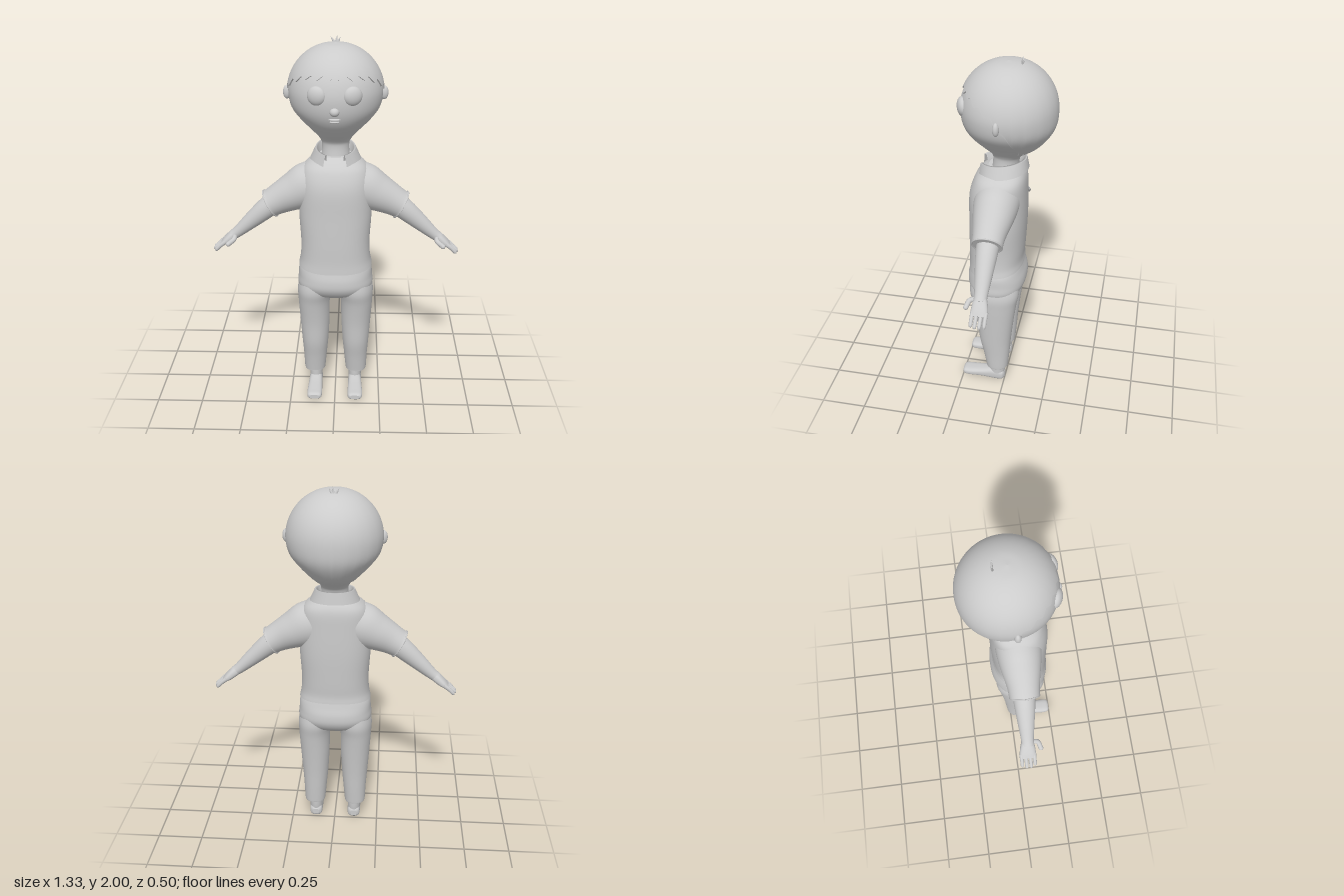
import * as THREE from 'three';

const mat = new THREE.MeshStandardMaterial({ color: 0xcccccc, side: THREE.DoubleSide });
const V = (x, y, z) => new THREE.Vector3(x, y, z);
const X = V(1, 0, 0), Y = V(0, 1, 0), Z = V(0, 0, 1);

function add(parent, geometry, name) {
  const mesh = new THREE.Mesh(geometry, mat);
  mesh.name = name;
  parent.add(mesh);
  return mesh;
}

// Skin a list of rings (equal point counts); closed = rings wrap round
function skin(rings, closed = true) {
  const n = rings[0].length, index = [];
  for (let i = 0; i < rings.length - 1; i++) {
    for (let j = 0; j < (closed ? n : n - 1); j++) {
      const k = (j + 1) % n, a = i * n, b = a + n;
      index.push(a + j, a + k, b + j, a + k, b + k, b + j);
    }
  }
  const g = new THREE.BufferGeometry();
  g.setAttribute('position', new THREE.Float32BufferAttribute(rings.flat().flatMap(p => p.toArray()), 3));
  g.setIndex(index);
  g.computeVertexNormals();
  return g;
}

// Smooth section sampler over keys [x, y, z, radiusU, radiusV]
function sampler(keys, u, v, e = 2) {
  const centre = new THREE.CatmullRomCurve3(keys.map(k => V(k[0], k[1], k[2])), false, 'catmullrom');
  const radius = new THREE.CatmullRomCurve3(keys.map(k => V(k[3], k[4], 0)), false, 'catmullrom');
  const pow = c => Math.sign(c) * Math.abs(c) ** (2 / e);
  return (t, angle, grow = 0) => {
    const r = radius.getPoint(t);
    return centre.getPoint(t)
      .addScaledVector(u, pow(Math.cos(angle)) * (r.x + grow))
      .addScaledVector(v, pow(Math.sin(angle)) * (r.y + grow));
  };
}

// Capped loft; u x v must point along the path
function loft(keys, u, v, { e = 2, n = 40, steps = 6 } = {}) {
  const at = sampler(keys, u, v, e), m = (keys.length - 1) * steps, rings = [];
  for (let i = 0; i <= m; i++) {
    rings.push(Array.from({ length: n }, (_, j) => at(i / m, (j / n) * Math.PI * 2)));
  }
  const cap = k => Array.from({ length: n }, () => V(k[0], k[1], k[2]));
  return skin([cap(keys[0]), rings[0], ...rings, rings[m], cap(keys[keys.length - 1])]);
}

function ball(parent, name, pos, scale, rotY = 0) {
  const m = add(parent, new THREE.SphereGeometry(1, 32, 20), name);
  m.position.set(...pos);
  m.scale.set(...scale);
  m.rotation.y = rotY;
  return m;
}

function buildHead(root) {
  const head = new THREE.Group();
  head.name = 'headGroup';
  root.add(head);
  // Round skull, then jaw and neck
  const keys = [];
  for (let d = 0; d <= 90; d += 15) {
    const a = d * Math.PI / 180;
    keys.push([0, 1.73 + 0.24 * Math.cos(a), -0.004, 0.24 * Math.sin(a), 0.24 * Math.sin(a)]);
  }
  keys.push([0, 1.66, -0.006, 0.226, 0.232], [0, 1.6, -0.006, 0.183, 0.203],
    [0, 1.54, -0.008, 0.126, 0.15], [0, 1.49, 0, 0.082, 0.088],
    [0, 1.45, 0.008, 0.07, 0.068], [0, 1.36, 0.015, 0.078, 0.072]);
  add(head, loft(keys, X, Z, { n: 64 }), 'headAndNeck');

  // Hair shell with a jagged hairline that drops behind the ears
  const at = sampler(keys, X, Z);
  const line = [[0, 1.838], [0.7, 1.835], [1.1, 1.805], [1.4, 1.765], [1.57, 1.71], [1.8, 1.62], [2.05, 1.53], [3.15, 1.5]];
  const hairY = a => {
    const i = Math.max(1, line.findIndex(p => p[0] >= a)), [a0, y0] = line[i - 1], [a1, y1] = line[i];
    const tooth = Math.abs(((a * 3.6) % 1) - 0.5) - 0.25;
    return y0 + (y1 - y0) * (a - a0) / (a1 - a0) + tooth * 0.05;
  };
  const endT = y => {
    let lo = 0, hi = 1;
    for (let i = 0; i < 24; i++) {
      const mid = (lo + hi) / 2;
      if (at(mid, 0).y > y) lo = mid; else hi = mid;
    }
    return lo;
  };
  const n = 160, m = 32, rings = Array.from({ length: m + 3 }, () => []);
  for (let j = 0; j < n; j++) {
    const th = (j / n) * Math.PI * 2;
    const fromFront = Math.abs(Math.atan2(Math.cos(th), Math.sin(th)));
    const end = endT(hairY(fromFront));
    for (let i = 0; i <= m; i++) {
      const t = end * i / m, p = at(t, th, 0.007 * Math.min(1, i / 4));
      p.y += 0.006 * (1 - t);
      rings[i].push(p);
    }
    rings[m + 1].push(rings[m][j].clone());
    rings[m + 2].push(at(end, th, -0.01));
  }
  add(head, skin(rings), 'hair');

  // Tuft on the crown
  for (const [x, tilt, h] of [[-0.014, 0.6, 0.05], [0.012, -0.5, 0.045], [0.002, -0.12, 0.056]]) {
    const leaf = add(head, new THREE.ConeGeometry(0.013, h, 16, 4), 'hairTuft');
    leaf.position.set(x, 1.972, -0.07);
    leaf.rotation.z = tilt;
    leaf.scale.z = 0.7;
  }

  // Face
  for (const s of [-1, 1]) {
    ball(head, 'eye', [s * 0.088, 1.76, 0.208], [0.048, 0.048, 0.028], s * 0.36);
    ball(head, 'ear', [s * 0.246, 1.73, 0.012], [0.02, 0.035, 0.017]);
  }
  ball(head, 'nose', [0, 1.685, 0.228], [0.024, 0.022, 0.024]);
  ball(head, 'upperLip', [0, 1.645, 0.22], [0.03, 0.007, 0.011]);
  ball(head, 'lowerLip', [0, 1.632, 0.216], [0.024, 0.007, 0.011]);
}

function buildShirt(root) {
  const torso = loft([
    [0, 1.41, 0.02, 0.08, 0.08], [0, 1.385, 0.026, 0.13, 0.11], [0, 1.34, 0.036, 0.172, 0.135],
    [0, 1.25, 0.048, 0.188, 0.15], [0, 1.1, 0.05, 0.192, 0.152], [0, 0.95, 0.055, 0.184, 0.15],
    [0, 0.85, 0.058, 0.187, 0.147], [0, 0.79, 0.058, 0.197, 0.15],
  ], X, Z, { e: 2.4, n: 56 });
  // Lift the hem toward the back
  const p = torso.attributes.position;
  for (let i = 0; i < p.count; i++) {
    const low = Math.max(0, 0.9 - p.getY(i)) / 0.11;
    p.setY(i, p.getY(i) + (0.2 - p.getZ(i)) * 0.1 * low);
  }
  torso.computeVertexNormals();
  add(root, torso, 'shirt');

  // Collar: stand folded over into a flared leaf, open at the front
  const n = 56, rows = [[], [], [], []];
  for (let j = 0; j <= n; j++) {
    const a = 0.5 + (j / n) * (Math.PI * 2 - 1), f = Math.cos(a);
    const tip = Math.max(0, f - 0.6) * 0.05;
    const at = (rx, rz, y) => V(Math.sin(a) * rx, y, 0.025 + f * rz);
    rows[0].push(at(0.085, 0.095, 1.37));
    rows[1].push(at(0.093, 0.112, 1.447 - 0.017 * f));
    rows[2].push(at(0.104, 0.124, 1.447 - 0.017 * f));
    rows[3].push(at(0.132, 0.134, 1.385 - 0.017 * f - tip));
  }
  add(root, skin([rows[0], rows[1], rows[2], rows[2], rows[3]], false), 'collar');
}

function buildArm() {
  const arm = new THREE.Group();
  arm.name = 'arm';
  const u = V(0.49, 0.87, 0);
  add(arm, loft([
    [0.08, 1.26, 0.036, 0.125, 0.12], [0.15, 1.232, 0.037, 0.124, 0.115], [0.22, 1.2, 0.038, 0.103, 0.102],
    [0.29, 1.165, 0.04, 0.085, 0.086], [0.335, 1.14, 0.04, 0.076, 0.08], [0.349, 1.132, 0.04, 0.077, 0.081],
  ], u, Z), 'sleeve');
  const cuff = add(arm, new THREE.TorusGeometry(0.077, 0.004, 8, 40), 'sleeveCuff');
  cuff.position.set(0.347, 1.133, 0.04);
  cuff.quaternion.setFromUnitVectors(Z, V(0.87, -0.49, 0).normalize());
  add(arm, loft([
    [0.31, 1.15, 0.037, 0.06, 0.06], [0.38, 1.095, 0.037, 0.056, 0.055], [0.46, 1.025, 0.035, 0.044, 0.044],
    [0.53, 0.962, 0.033, 0.031, 0.034], [0.56, 0.94, 0.032, 0.027, 0.034],
  ], u, Z), 'forearm');
  const h = V(0.6, 0.8, 0);
  add(arm, loft([
    [0.535, 0.957, 0.032, 0.024, 0.03], [0.56, 0.938, 0.03, 0.025, 0.038],
    [0.59, 0.914, 0.028, 0.021, 0.043], [0.615, 0.896, 0.028, 0.012, 0.041],
  ], h, Z, { e: 2.4 }), 'palm');
  [-0.007, 0.016, 0.039, 0.061].forEach((z, i) => {
    const reach = [0.655, 0.664, 0.664, 0.655][i];
    add(arm, loft([
      [0.595, 0.911, z, 0.012, 0.011], [0.625, 0.888, z, 0.011, 0.01],
      [reach - 0.008, 0.866, z, 0.01, 0.009], [reach, 0.858, z, 0.002, 0.002],
    ], h, Z, { n: 16 }), 'finger');
  });
  const thumb = new THREE.CatmullRomCurve3([V(0.545, 0.948, 0.045), V(0.545, 0.938, 0.085), V(0.575, 0.915, 0.1)]);
  add(arm, new THREE.TubeGeometry(thumb, 16, 0.013, 14), 'thumb');
  ball(arm, 'thumbTip', [0.575, 0.915, 0.1], [0.013, 0.013, 0.013]);
  return arm;
}

function buildLeg() {
  const leg = new THREE.Group();
  leg.name = 'leg';
  add(leg, loft([
    [0.1, 0.74, 0.055, 0.085, 0.13], [0.112, 0.66, 0.055, 0.094, 0.138], [0.118, 0.58, 0.053, 0.087, 0.122],
    [0.115, 0.45, 0.051, 0.082, 0.103], [0.114, 0.32, 0.052, 0.074, 0.09], [0.115, 0.22, 0.046, 0.066, 0.076],
    [0.117, 0.13, 0.042, 0.06, 0.064], [0.117, 0.115, 0.042, 0.058, 0.062],
  ], X, Z, { e: 2.2 }), 'trouserLeg');
  add(leg, loft([
    [0.112, 0.14, 0.042, 0.038, 0.046], [0.112, 0.08, 0.043, 0.036, 0.045], [0.112, 0.03, 0.045, 0.036, 0.04],
  ], X, Z), 'ankle');
  add(leg, loft([
    [0.112, 0.035, -0.002, 0.018, 0.018], [0.112, 0.037, 0.015, 0.035, 0.034], [0.112, 0.04, 0.07, 0.037, 0.038],
    [0.113, 0.04, 0.13, 0.039, 0.028], [0.114, 0.038, 0.2, 0.042, 0.023], [0.114, 0.038, 0.235, 0.039, 0.02],
    [0.114, 0.038, 0.247, 0.028, 0.012],
  ], X, Y, { e: 2.8 }), 'foot');
  return leg;
}

export function createModel() {
  const root = new THREE.Group();
  root.name = 'standingBoy';
  buildHead(root);
  buildShirt(root);
  // Seat of the trousers
  add(root, loft([
    [0, 0.83, 0.056, 0.18, 0.138], [0, 0.79, 0.056, 0.196, 0.148], [0, 0.74, 0.055, 0.2, 0.16],
    [0, 0.69, 0.055, 0.203, 0.157], [0, 0.645, 0.055, 0.18, 0.128], [0, 0.61, 0.055, 0.1, 0.075],
  ], X, Z, { e: 2.4, n: 56 }), 'trouserSeat');
  // Left limbs, mirrored for the right
  for (const s of [1, -1]) {
    for (const limb of [buildArm(), buildLeg()]) {
      limb.name = (s > 0 ? 'left ' : 'right ') + limb.name;
      limb.scale.x = s;
      root.add(limb);
    }
  }
  return root;
}
